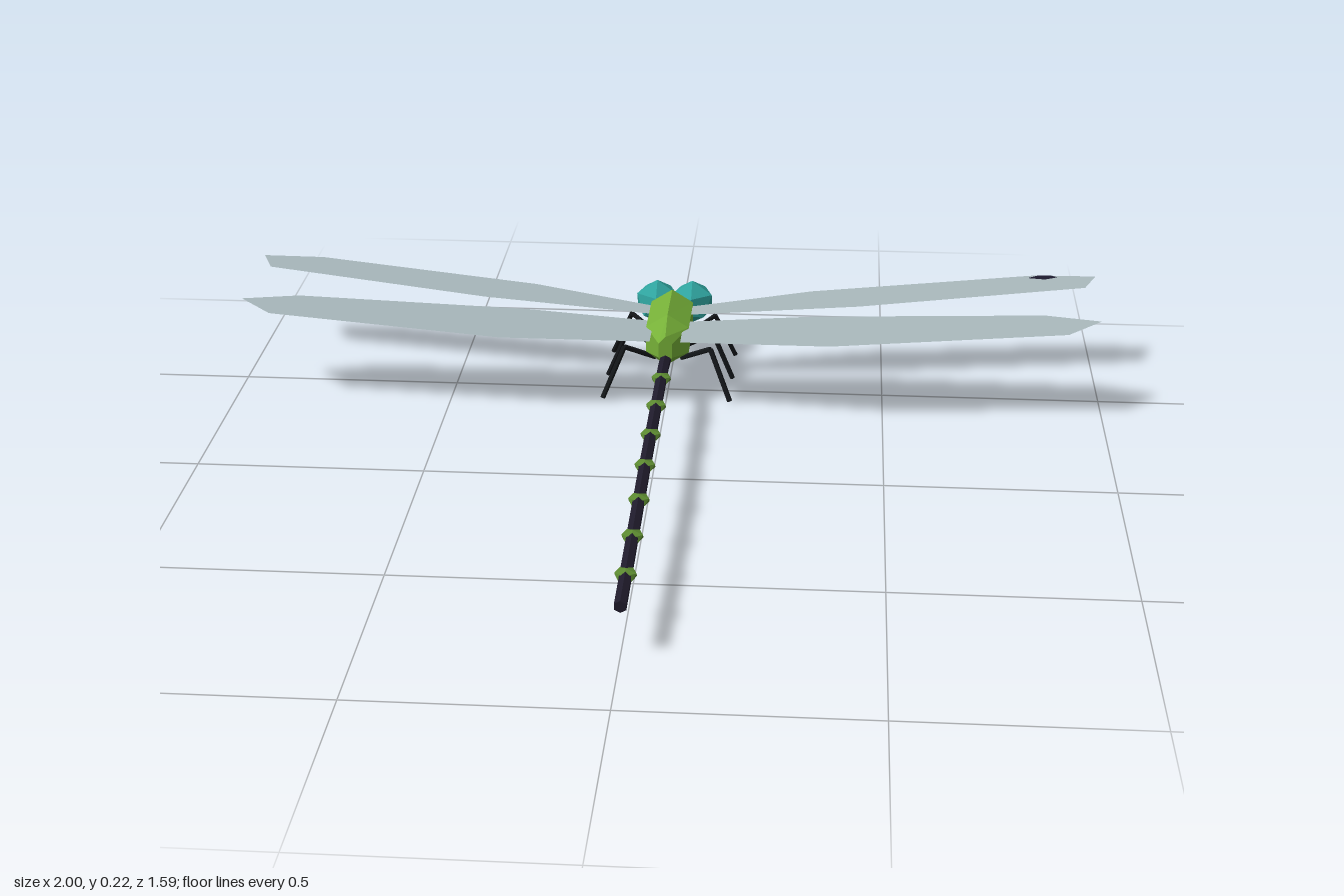
import * as THREE from 'three';

const flat = (color, side = THREE.FrontSide) =>
  new THREE.MeshStandardMaterial({ color, side, flatShading: true });

// Loft of six-sided rings along z; each section is [z, y, halfWidth, halfHeight].
function loft(sections, sides = 6) {
  const pos = [], index = [];
  for (const [z, y, w, h] of sections) {
    for (let j = 0; j < sides; j++) {
      const a = (j / sides) * Math.PI * 2;
      pos.push(w * Math.sin(a), y + h * Math.cos(a), z);
    }
  }
  const last = sections.length - 1;
  for (let j = 0; j < sides; j++) {
    const k = (j + 1) % sides;
    for (let i = 0; i < last; i++) {
      const a = i * sides, b = a + sides;
      index.push(a + j, b + j, a + k, b + j, b + k, a + k);
    }
    if (j > 0 && j < sides - 1) {
      index.push(0, j, k, last * sides, last * sides + k, last * sides + j);
    }
  }
  const g = new THREE.BufferGeometry();
  g.setAttribute('position', new THREE.Float32BufferAttribute(pos, 3));
  g.setIndex(index);
  g.computeVertexNormals();
  return g;
}

// Flat outline in x and z, raised towards the wing tips.
function sheet(outline, side, lift = 0) {
  const shape = new THREE.Shape(outline.map(([x, z]) => new THREE.Vector2(x * side, -z)));
  const g = new THREE.ShapeGeometry(shape).rotateX(-Math.PI / 2);
  const p = g.attributes.position;
  for (let i = 0; i < p.count; i++) p.setY(i, 0.165 + 0.055 * Math.abs(p.getX(i)) + lift);
  g.computeVertexNormals();
  return g;
}

// Straight rod between two points.
function rod(a, b, radius) {
  const from = new THREE.Vector3(...a), to = new THREE.Vector3(...b);
  const dir = to.clone().sub(from);
  const g = new THREE.CylinderGeometry(radius, radius, dir.length(), 6);
  g.applyQuaternion(new THREE.Quaternion().setFromUnitVectors(
    new THREE.Vector3(0, 1, 0), dir.normalize()));
  const mid = from.add(to).multiplyScalar(0.5);
  return g.translate(mid.x, mid.y, mid.z);
}

export function createModel() {
  const model = new THREE.Group();
  const mats = {
    bodyGreen: flat(0x76b038),
    ringGreen: flat(0x5c8a30),
    eyeTeal: flat(0x2fa39e),
    abdomenDark: flat(0x1f1b2b),
    legBlack: flat(0x14171a),
    wingGrey: flat(0xa9b8bc, THREE.DoubleSide),
    spotDark: flat(0x1c1a2e, THREE.DoubleSide),
  };
  for (const [name, m] of Object.entries(mats)) m.name = name;

  const add = (name, geometry, material, parent = model) => {
    const mesh = new THREE.Mesh(geometry, material);
    mesh.name = name;
    parent.add(mesh);
    return mesh;
  };

  // Body
  add('thorax', loft([
    [-0.69, 0.125, 0.03, 0.038],
    [-0.635, 0.137, 0.057, 0.063],
    [-0.47, 0.138, 0.057, 0.062],
    [-0.40, 0.138, 0.018, 0.034],
  ]), mats.bodyGreen);
  add('face', loft([
    [-0.79, 0.102, 0.027, 0.028],
    [-0.74, 0.106, 0.035, 0.034],
    [-0.67, 0.115, 0.03, 0.034],
  ]), mats.bodyGreen);

  // Eyes
  for (const side of [1, -1]) {
    const eye = new THREE.IcosahedronGeometry(0.056, 0).rotateX(-1.0172);
    eye.scale(1, 0.95, 1.04).translate(side * 0.042, 0.136, -0.727);
    add(side > 0 ? 'leftEye' : 'rightEye', eye, mats.eyeTeal);
  }

  // Long thin abdomen
  const spine = [[-0.42, 0.112], [-0.34, 0.122], [0.2, 0.122], [0.795, 0.104]];
  add('abdomen', loft(spine.map(([z, y]) => [z, y, 0.0135, 0.0125])), mats.abdomenDark);

  // Small joints along the abdomen
  for (let i = 0; i < 7; i++) {
    const z = -0.27 + i * 0.157;
    const y = z < 0.2 ? 0.124 : 0.124 - (z - 0.2) * 0.03;
    const joint = new THREE.IcosahedronGeometry(1, 0).rotateX(-1.0172);
    joint.scale(0.025, 0.013, 0.024).translate(0, y, z);
    add('abdomenJoint', joint, mats.ringGreen);
  }

  // Wings
  const foreWing = [[0.01, -0.555], [0.05, -0.612], [0.33, -0.693], [0.86, -0.763],
    [1, -0.745], [0.97, -0.67], [0.44, -0.583]];
  const hindWing = [[0.035, -0.512], [0.335, -0.525], [0.865, -0.497], [0.99, -0.45],
    [0.91, -0.372], [0.375, -0.335], [0.035, -0.382]];
  for (const side of [1, -1]) {
    const label = side > 0 ? 'left' : 'right';
    add(label + 'ForeWing', sheet(foreWing, side), mats.wingGrey);
    add(label + 'HindWing', sheet(hindWing, side), mats.wingGrey);
  }

  // Dark wing spot
  add('wingSpot', sheet([[0.84, -0.738], [0.865, -0.754], [0.895, -0.752],
    [0.91, -0.738], [0.88, -0.725]], 1, 0.003), mats.spotDark);

  // Legs: hip, knee and foot positions along z
  const legs = [['front', -0.64, -0.685, -0.722], ['middle', -0.572, -0.572, -0.572],
    ['hind', -0.505, -0.468, -0.43]];
  for (const side of [1, -1]) {
    for (const [name, hip, knee, foot] of legs) {
      const leg = new THREE.Group();
      leg.name = name + (side > 0 ? 'LeftLeg' : 'RightLeg');
      const k = [side * 0.1, 0.118, knee];
      add('upperLeg', rod([side * 0.03, 0.08, hip], k, 0.006), mats.legBlack, leg);
      add('lowerLeg', rod(k, [side * 0.148, 0.004, foot], 0.006), mats.legBlack, leg);
      model.add(leg);
    }
  }
  return model;
}
